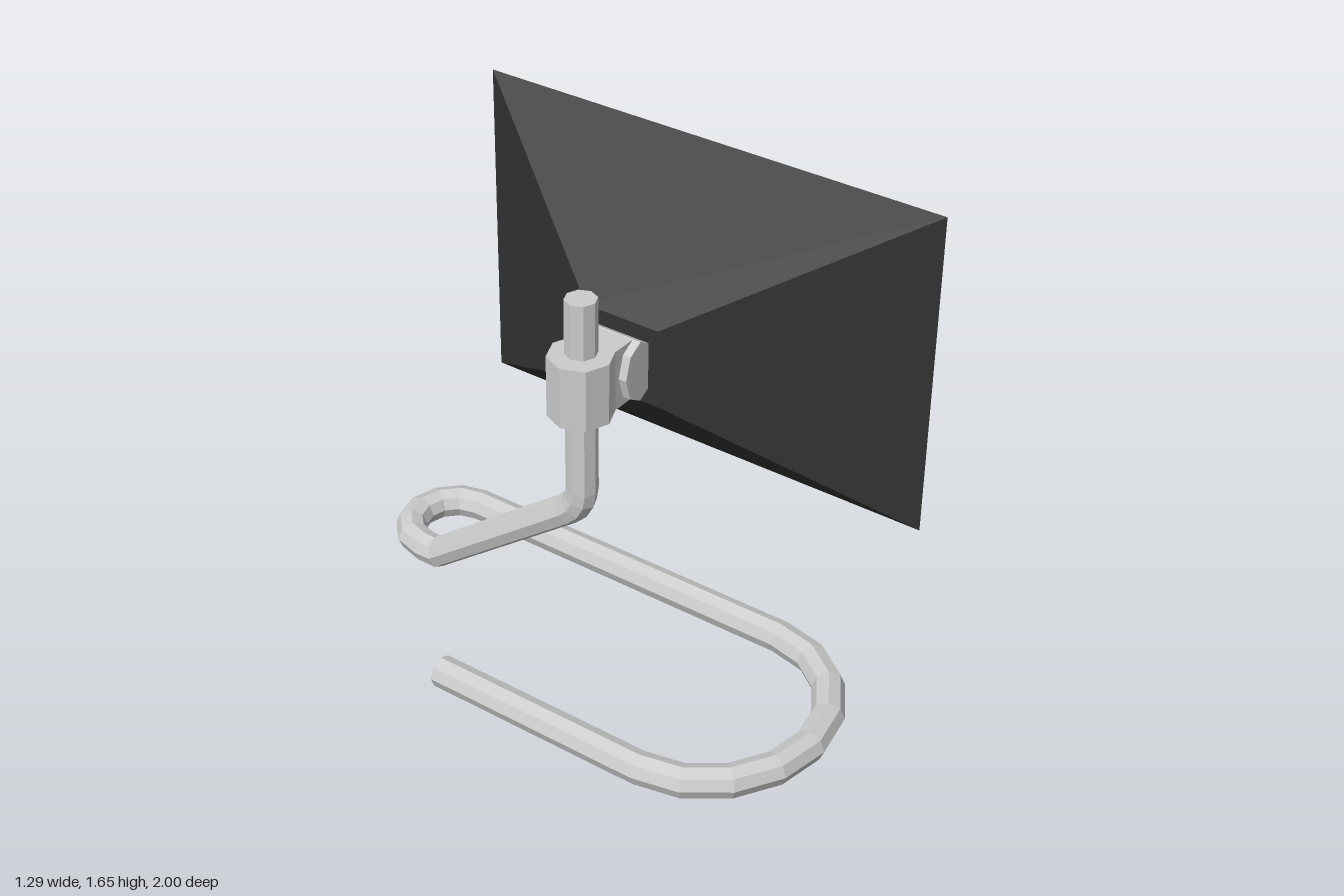
import * as THREE from 'three';

const grey = new THREE.MeshStandardMaterial({ color: 0xcccccc, flatShading: true });
const dark = new THREE.MeshStandardMaterial({ color: 0x333333, flatShading: true });

// Skin a list of rings (counter-clockwise about the direction of travel) and cap both ends
function loft(rings) {
  const pos = [];
  const tri = (...pts) => pts.forEach((p) => pos.push(p.x, p.y, p.z));
  const n = rings[0].length;
  for (let i = 0; i < rings.length - 1; i++) {
    for (let j = 0; j < n; j++) {
      const k = (j + 1) % n;
      const [a, b, c, d] = [rings[i][j], rings[i][k], rings[i + 1][k], rings[i + 1][j]];
      tri(a, b, c);
      tri(a, c, d);
    }
  }
  const first = rings[0], last = rings[rings.length - 1];
  for (let j = 1; j < n - 1; j++) {
    tri(first[0], first[j + 1], first[j]);
    tri(last[0], last[j], last[j + 1]);
  }
  const geo = new THREE.BufferGeometry();
  geo.setAttribute('position', new THREE.Float32BufferAttribute(pos, 3));
  geo.computeVertexNormals();
  return geo;
}

// Carry an octagonal ring along the path, cutting it on the mitre plane of every corner
function sweep(path, radius, sides) {
  let ring = [];
  for (let j = 0; j < sides; j++) {
    const a = (j / sides) * Math.PI * 2;
    ring.push(new THREE.Vector3(Math.cos(a) * radius, Math.sin(a) * radius, 0).add(path[0]));
  }
  const rings = [ring];
  for (let i = 1; i < path.length; i++) {
    const dir = path[i].clone().sub(path[i - 1]).normalize();
    const normal = dir.clone();
    if (i < path.length - 1) normal.add(path[i + 1].clone().sub(path[i]).normalize());
    ring = ring.map((v) => {
      const t = path[i].clone().sub(v).dot(normal) / dir.dot(normal);
      return v.clone().addScaledVector(dir, t);
    });
    rings.push(ring);
  }
  return loft(rings);
}

export function createModel() {
  const model = new THREE.Group();
  const add = (name, geo, mat, x = 0, y = 0, z = 0) => {
    const mesh = new THREE.Mesh(geo, mat);
    mesh.name = name;
    mesh.position.set(x, y, z);
    model.add(mesh);
  };

  // Bent tube: foot hook, long runner, small return bend, sloping strut, upright post
  const r = 0.057;
  const V = (x, y, z) => new THREE.Vector3(x, y, z);
  const path = [V(-0.588, r, -0.28)];
  for (let i = 0; i <= 8; i++) {
    const a = (i / 8) * Math.PI;
    path.push(V(-0.166 - 0.422 * Math.cos(a), r, 0.555 + 0.388 * Math.sin(a)));
  }
  for (let i = 0; i <= 6; i++) {
    const a = (i / 6) * Math.PI;
    path.push(V(0.094 + 0.162 * Math.cos(a), r, -0.785 - 0.158 * Math.sin(a)));
  }
  path.push(V(-0.068, r, -0.725));
  const bend = new THREE.QuadraticBezierCurve3(
    V(-0.068, 0.506, -0.125), V(-0.068, 0.553, -0.062), V(-0.068, 0.62, -0.062));
  path.push(...bend.getPoints(3), V(-0.068, 1.365, -0.062));
  add('tubeStand', sweep(path, r, 8), grey);

  // Clamp collar with its short arm
  add('clampCollar', new THREE.CylinderGeometry(0.116, 0.116, 0.23, 8), grey, -0.076, 1.045, -0.058);
  add('clampArm', new THREE.BoxGeometry(0.13, 0.228, 0.168), grey, 0.03, 1.045, -0.058);

  // Flattened octagonal hinge lying along z
  const hinge = new THREE.CylinderGeometry(0.115, 0.115, 0.228, 8);
  hinge.rotateX(Math.PI / 2).scale(0.7, 1, 1);
  add('hinge', hinge, grey, 0.1, 1.045, -0.057);

  // Pyramid shade: outer skin, sloping rim, hollow inside and recessed back panel
  const sections = [ // x, half height, half width
    [0.145, 0.148, 0.148],
    [0.63, 0.612, 0.92],
    [0.642, 0.525, 0.785],
    [0.35, 0.181, 0.273],
    [0.315, 0.181, 0.273],
  ];
  const corners = [[1, 1], [-1, 1], [-1, -1], [1, -1]];
  const shade = loft(sections.map(([x, h, w]) => corners.map(([sy, sz]) => V(x, sy * h, sz * w))));
  add('shade', shade, dark, 0, 1.043, -0.054);

  return model;
}
